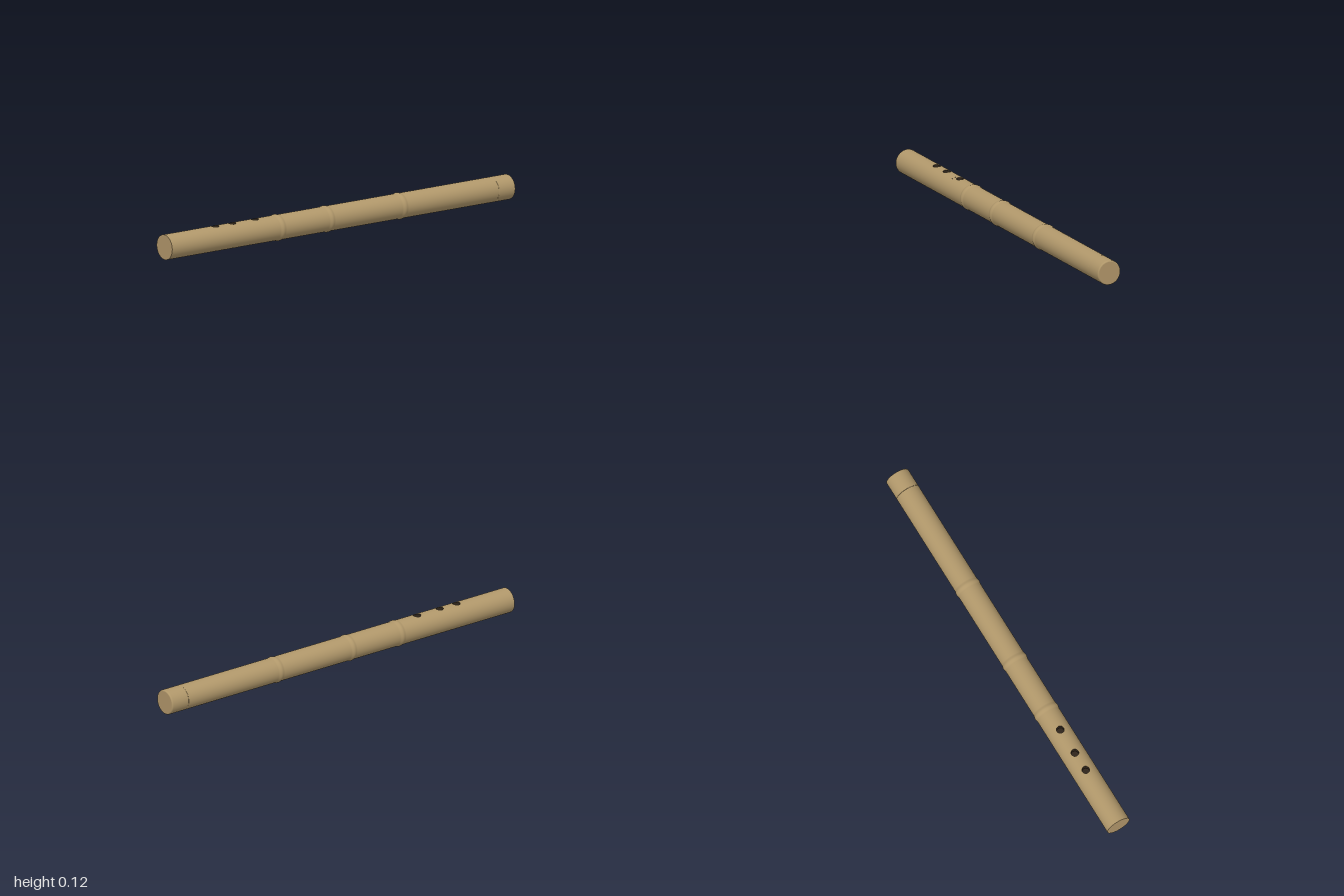
import * as THREE from 'three';

const R = 0.059, CY = 0.0625, HOLE = 0.018, HALF = 0.03;
const HOLES = [-0.705, -0.607, -0.475];
const NODES = [-0.35, -0.065, 0.36];
const TOP = 1.5 * Math.PI, ARC = HALF / R;

// Surface of revolution about the x axis; profile is [x, radius] with x increasing
function turned(profile, start = 0, length = Math.PI * 2, segments = 64) {
  const points = profile.map(([x, r]) => new THREE.Vector2(r, x));
  return new THREE.LatheGeometry(points, segments, start, length).rotateZ(-Math.PI / 2);
}

// Curved square patch of the tube wall with a round hole in it
function holePatch(cx) {
  const n = 48, rings = 4, pos = [], nor = [], idx = [];
  for (let k = 0; k <= rings; k++) {
    for (let i = 0; i <= n; i++) {
      const a = (i / n) * Math.PI * 2, c = Math.cos(a), s = Math.sin(a);
      const outer = HALF / Math.max(Math.abs(c), Math.abs(s));
      const d = HOLE + (outer - HOLE) * k / rings;
      const t = d * s / R;
      pos.push(cx + d * c, R * Math.cos(t), R * Math.sin(t));
      nor.push(0, Math.cos(t), Math.sin(t));
      if (k < rings && i < n) {
        const p = k * (n + 1) + i, q = p + n + 1;
        idx.push(p, q + 1, q, p, p + 1, q + 1);
      }
    }
  }
  const g = new THREE.BufferGeometry();
  g.setAttribute('position', new THREE.Float32BufferAttribute(pos, 3));
  g.setAttribute('normal', new THREE.Float32BufferAttribute(nor, 3));
  g.setIndex(idx);
  return g;
}

// Cup lining a hole, its rim following the curve of the tube
function holeCup(cx) {
  const g = new THREE.CylinderGeometry(HOLE, HOLE, 0.03, 48, 1, true);
  const p = g.attributes.position;
  for (let i = 0; i < p.count; i++) {
    const z = p.getZ(i);
    const rim = R * Math.cos(Math.asin(z / R));
    p.setY(i, p.getY(i) > 0 ? rim : 0.03);
  }
  return g.translate(cx, 0, 0);
}

export function createModel() {
  const bamboo = new THREE.MeshStandardMaterial({ color: 0xb0976a });
  bamboo.name = 'bamboo';
  const cutEnd = new THREE.MeshStandardMaterial({ color: 0xb09569 });
  cutEnd.name = 'cut end';
  const dark = new THREE.MeshStandardMaterial({ color: 0x2e241a, side: THREE.DoubleSide });
  dark.name = 'dark bore';

  const flute = new THREE.Group();
  flute.name = 'flute';
  const add = (name, geometry, material) => {
    const mesh = new THREE.Mesh(geometry, material);
    mesh.name = name;
    mesh.position.y = CY;
    flute.add(mesh);
    return mesh;
  };

  // Main tube with soft ridges at the nodes
  const x0 = HOLES[0] - HALF, x1 = HOLES[2] + HALF;
  const profile = [[x1, R]];
  for (const x of NODES) {
    for (let i = -8; i <= 8; i++) {
      const t = i / 8;
      profile.push([x + t * 0.018, R + 0.0035 * Math.cos(t * Math.PI / 2) ** 2]);
    }
  }
  profile.push([0.902, R], [0.9035, R - 0.002]);
  add('tube', turned(profile), bamboo);
  add('blownEndTube', turned([[-1, R], [x0, R]]), bamboo);

  // Finger hole section: open-topped tube, bridges between holes, pierced patches
  add('holeSection', turned([[x0, R], [x1, R]], TOP + ARC, Math.PI * 2 - 2 * ARC), bamboo);
  for (let i = 0; i < HOLES.length - 1; i++) {
    const bridge = [[HOLES[i] + HALF, R], [HOLES[i + 1] - HALF, R]];
    add('holeBridge', turned(bridge, TOP - ARC, 2 * ARC, 16), bamboo);
  }
  for (const x of HOLES) {
    add('holeRim', holePatch(x), bamboo);
    add('holeLining', holeCup(x), dark);
    const floor = new THREE.CircleGeometry(HOLE, 48).rotateX(-Math.PI / 2).translate(x, 0.03, 0);
    add('holeFloor', floor, dark);
  }

  // End cap behind a fine groove, with a rounded rim
  const cap = [[0.9035, R - 0.002], [0.905, R], [0.993, R]];
  for (let i = 1; i <= 6; i++) {
    const a = (i / 6) * Math.PI / 2;
    cap.push([0.993 + 0.007 * Math.sin(a), R - 0.006 * (1 - Math.cos(a))]);
  }
  add('endCap', turned(cap), bamboo);

  // Flat faces at both ends
  add('capFace', new THREE.CircleGeometry(R - 0.006, 64).rotateY(Math.PI / 2).translate(1, 0, 0), cutEnd);
  add('openEndFace', new THREE.CircleGeometry(R, 64).rotateY(-Math.PI / 2).translate(-1, 0, 0), cutEnd);

  return flute;
}
